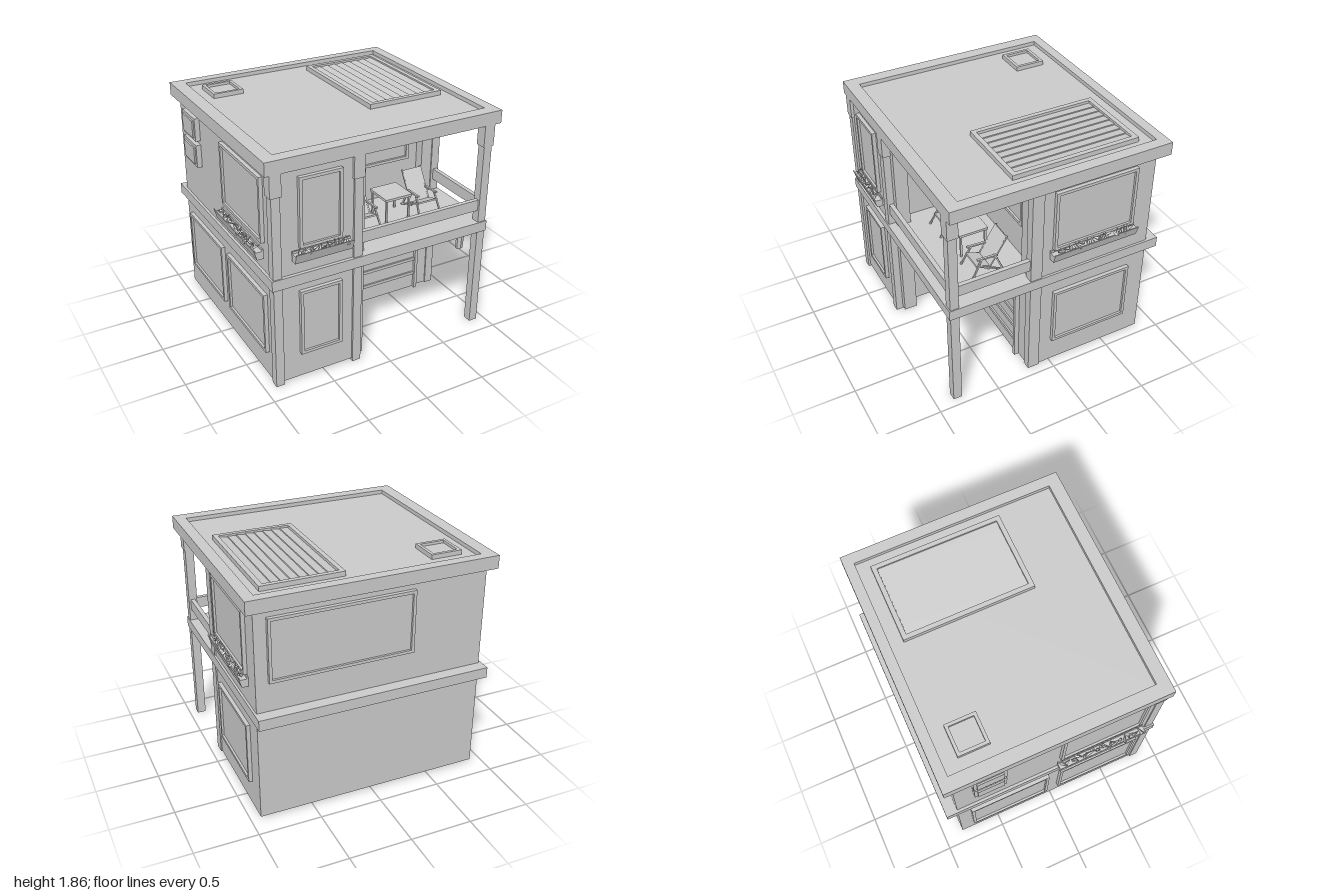
import * as THREE from 'three';

const mat = new THREE.MeshStandardMaterial({ color: 0xcccccc, flatShading: true });

function mesh(name, geo, parent) {
  const m = new THREE.Mesh(geo, mat);
  m.name = name;
  parent.add(m);
  return m;
}

// Box given by its min and max on each axis
function box(name, parent, x0, x1, y0, y1, z0, z1) {
  const m = mesh(name, new THREE.BoxGeometry(x1 - x0, y1 - y0, z1 - z0), parent);
  m.position.set((x0 + x1) / 2, (y0 + y1) / 2, (z0 + z1) / 2);
  return m;
}

// Square bar between two points
function bar(name, parent, a, b, w, d = w) {
  const p = new THREE.Vector3(...a), q = new THREE.Vector3(...b);
  const m = mesh(name, new THREE.BoxGeometry(w, p.distanceTo(q), d), parent);
  m.position.copy(p).add(q).multiplyScalar(0.5);
  m.quaternion.setFromUnitVectors(new THREE.Vector3(0, 1, 0), q.sub(p).normalize());
  return m;
}

function rectPath(P, x0, x1, y0, y1) {
  return new P([[x0, y0], [x1, y0], [x1, y1], [x0, y1]].map(p => new THREE.Vector2(...p)));
}

// Rectangular ring with a thinner pane inside, facing +z
function framed(name, w, h, border = 0.024, depth = 0.03) {
  const g = new THREE.Group();
  g.name = name;
  const s = rectPath(THREE.Shape, -w / 2, w / 2, -h / 2, h / 2);
  const b = border;
  s.holes.push(rectPath(THREE.Path, -w / 2 + b, w / 2 - b, -h / 2 + b, h / 2 - b));
  mesh('frame', new THREE.ExtrudeGeometry(s, { depth, bevelEnabled: false }), g);
  box('pane', g, -w / 2 + b, w / 2 - b, -h / 2 + b, h / 2 - b, 0, depth * 0.4);
  return g;
}

// Put an object on a wall plane: u runs along the wall
function mount(obj, parent, side, u, y, plane) {
  obj.rotation.y = { front: 0, right: Math.PI / 2, back: Math.PI, left: -Math.PI / 2 }[side];
  if (side === 'front' || side === 'back') obj.position.set(u, y, plane);
  else obj.position.set(plane, y, u);
  parent.add(obj);
}

// Hollow wall ring around an L-shaped plan
function walls(name, parent, y0, y1, zBack) {
  const plan = (t) => [
    [-0.905 + t, -0.837 + t], [0.925 - t, -0.837 + t], [0.925 - t, zBack - t],
    [-0.24 - t, zBack - t], [-0.24 - t, 0.84 - t], [-0.905 + t, 0.84 - t],
  ].map(p => new THREE.Vector2(...p));
  const s = new THREE.Shape(plan(0));
  s.holes.push(new THREE.Path(plan(0.02)));
  const geo = new THREE.ExtrudeGeometry(s, { depth: y1 - y0, bevelEnabled: false });
  geo.rotateX(Math.PI / 2).translate(0, y1, 0);
  mesh(name, geo, parent);
}

let seed = 7;
const rnd = () => (seed = (seed * 16807) % 2147483647) / 2147483647;

// Tapered trough with angular leaves, facing +z
function planter(len) {
  const g = new THREE.Group();
  g.name = 'planter';
  const prof = [[0, 0], [0.05, 0], [0.075, 0.08], [0.066, 0.08], [0.06, 0.062], [0.01, 0.062], [0.01, 0.08], [0, 0.08]];
  const geo = new THREE.ExtrudeGeometry(new THREE.Shape(prof.map(p => new THREE.Vector2(...p))), { depth: len, bevelEnabled: false });
  mesh('trough', geo.rotateY(-Math.PI / 2).translate(len / 2, 0, 0), g);
  const n = Math.round(len / 0.035);
  for (let i = 0; i < n; i++) {
    const leaf = mesh('leaf', new THREE.ConeGeometry(0.016, 0.05 + rnd() * 0.03, 4), g);
    leaf.position.set((i + 0.5) / n * (len - 0.06) - len / 2 + 0.03, 0.079 + rnd() * 0.012, 0.03 + rnd() * 0.02);
    leaf.rotation.set((rnd() - 0.5) * 0.9, rnd() * 3, (rnd() - 0.5) * 2.6);
  }
  return g;
}

// Reclining balcony chair
function chair() {
  const g = new THREE.Group();
  g.name = 'chair';
  bar('backrest', g, [0, 0.98, 0.42], [0, 1.22, 0.275], 0.17, 0.012);
  bar('seat', g, [0, 1.035, 0.53], [0, 0.99, 0.41], 0.17, 0.012);
  for (const s of [-1, 1]) {
    const x = s * 0.085;
    bar('frontLeg', g, [s * 0.1, 0.933, 0.565], [x, 1.09, 0.48], 0.012);
    bar('rearLeg', g, [x, 1.035, 0.53], [s * 0.1, 0.935, 0.3], 0.012);
    bar('backLeg', g, [x, 1.08, 0.37], [s * 0.095, 0.933, 0.31], 0.012);
    bar('armrest', g, [x, 1.09, 0.52], [x, 1.08, 0.35], 0.018, 0.012);
    bar('backRail', g, [x, 0.97, 0.43], [x, 1.225, 0.27], 0.012);
  }
  return g;
}

export function createModel() {
  const house = new THREE.Group();
  house.name = 'house';

  // Both storeys: shell plus thicker wall pieces that leave door niches
  const storeys = [
    { tag: 'lower', y0: 0.02, y1: 0.86, door: 0.76, zBack: 0.19 },
    { tag: 'upper', y0: 0.92, y1: 1.76, door: 1.665, zBack: 0.11 },
  ];
  for (const { tag, y0, y1, door, zBack } of storeys) {
    walls(tag + 'Walls', house, y0, y1, zBack);
    box(tag + 'WingWallRear', house, -0.24, -0.14, y0, y1, zBack, 0.34);
    box(tag + 'WingWallFront', house, -0.24, -0.14, y0, y1, 0.69, 0.8);
    box(tag + 'DoorLintel', house, -0.24, -0.14, door, y1, 0.34, 0.69);
    // Corner post of the recessed front
    box(tag + 'RecessPost', house, 0.865, 0.935, y0 - 0.005, y1, 0.105, 0.2);
  }
  box('innerWall', house, -0.6, -0.26, 0.02, 0.86, 0.17, 0.19);
  box('balconyWallSide', house, 0.77, 0.9, 0.92, 1.76, 0.1, 0.19);
  box('balconyWallTop', house, -0.14, 0.77, 1.665, 1.76, 0.1, 0.19);

  // Front posts with caps below the roof
  for (const [x0, x1] of [[-0.913, -0.844], [-0.26, -0.19], [0.865, 0.935]]) {
    box('frontPost', house, x0, x1, 0, 1.76, 0.787, 0.857);
    box('postCap', house, x0 - 0.01, x1 + 0.01, 1.575, 1.76, 0.778, 0.864);
  }

  // Floor slab and roof with raised rim
  box('floorSlab', house, -0.927, 0.943, 0.847, 0.933, -0.932, 0.867);
  box('roofDeck', house, -0.956, 0.998, 1.748, 1.82, -0.91, 0.865);
  const rim = rectPath(THREE.Shape, -0.956, 0.998, -0.91, 0.865);
  rim.holes.push(rectPath(THREE.Path, -0.85, 0.91, -0.83, 0.765));
  mesh('roofRim', new THREE.ExtrudeGeometry(rim, { depth: 0.04, bevelEnabled: false }), house)
    .rotation.x = Math.PI / 2;
  house.getObjectByName('roofRim').position.y = 1.852;

  // Roof hatch and ribbed roof panel
  const hatch = framed('roofHatch', 0.25, 0.245, 0.025, 0.036);
  hatch.rotation.x = -Math.PI / 2;
  hatch.position.set(-0.63, 1.82, -0.593);
  const panel = framed('roofPanel', 0.645, 1.04, 0.037, 0.038);
  panel.rotation.x = -Math.PI / 2;
  panel.position.set(0.512, 1.82, -0.21);
  house.add(hatch, panel);
  for (let i = 0; i < 8; i++) {
    const slat = box('panelSlat', house, 0.229 + i * 0.071, 0.3 + i * 0.071, 1.832, 1.842, -0.69, 0.275);
    slat.rotation.z = 0.12;
  }

  // Windows: side, position along wall, centre height, wall plane, width, height
  const windows = [
    ['front', -0.532, 1.415, 0.84, 0.344, 0.55], ['front', -0.532, 0.507, 0.84, 0.344, 0.55],
    ['front', 0.303, 1.434, 0.11, 0.74, 0.385],
    ['right', -0.327, 1.425, 0.925, 0.69, 0.51], ['right', -0.338, 0.492, 0.925, 0.675, 0.505],
    ['left', 0.37, 1.425, -0.905, 0.69, 0.51],
    ['left', 0.39, 0.492, -0.905, 0.68, 0.505], ['left', -0.39, 0.492, -0.905, 0.68, 0.505],
    ['back', 0.26, 1.423, -0.837, 1.14, 0.505],
  ];
  for (const [side, u, y, plane, w, h] of windows) mount(framed('window', w, h), house, side, u, y, plane);

  // Window boxes
  mount(planter(0.466), house, 'front', -0.53, 1.05, 0.853);
  mount(planter(0.73), house, 'right', -0.327, 1.083, 0.925);
  mount(planter(0.73), house, 'left', 0.365, 1.052, -0.922);

  // Garage door with its frame and horizontal ribs
  box('garageDoor', house, -0.067, 0.73, 0.02, 0.735, 0.18, 0.203);
  box('garageFrameTop', house, -0.094, 0.757, 0.735, 0.76, 0.18, 0.2275);
  for (const x of [-0.094, 0.73]) box('garageFrameSide', house, x, x + 0.027, 0.015, 0.735, 0.18, 0.2275);
  for (const y of [0.15, 0.29, 0.43, 0.573, 0.71]) box('garageRib', house, -0.067, 0.73, y, y + 0.027, 0.17, 0.217);

  // Balcony railing
  box('frontRail', house, -0.19, 0.866, 1.03, 1.122, 0.805, 0.84);
  box('sideRail', house, 0.885, 0.92, 1.03, 1.122, 0.2, 0.79);

  // Balcony furniture
  for (const x of [0.055, 0.612]) {
    const c = chair();
    c.position.x = x;
    house.add(c);
  }
  box('tableTop', house, 0.21, 0.45, 1.125, 1.145, 0.3, 0.54);
  for (const x of [0.22, 0.425]) for (const z of [0.31, 0.515])
    box('tableLeg', house, x, x + 0.015, 0.933, 1.125, z, z + 0.015);

  // Hanging lantern beside the corner post
  box('lanternArm', house, 0.715, 0.866, 0.815, 0.85, 0.79, 0.82);
  box('lanternCap', house, 0.73, 0.81, 0.8, 0.816, 0.745, 0.8);
  const lamp = mesh('lanternBody', new THREE.CylinderGeometry(0.038, 0.03, 0.12, 6), house);
  lamp.position.set(0.77, 0.745, 0.768);
  lamp.scale.z = 0.6;

  // Wall units on the left side
  for (const y of [1.286, 1.51]) {
    box('wallUnit', house, -0.945, -0.9, y, y + 0.19, -0.69, -0.43);
    box('wallUnitCover', house, -0.957, -0.94, y + 0.025, y + 0.165, -0.665, -0.455);
  }
  return house;
}
